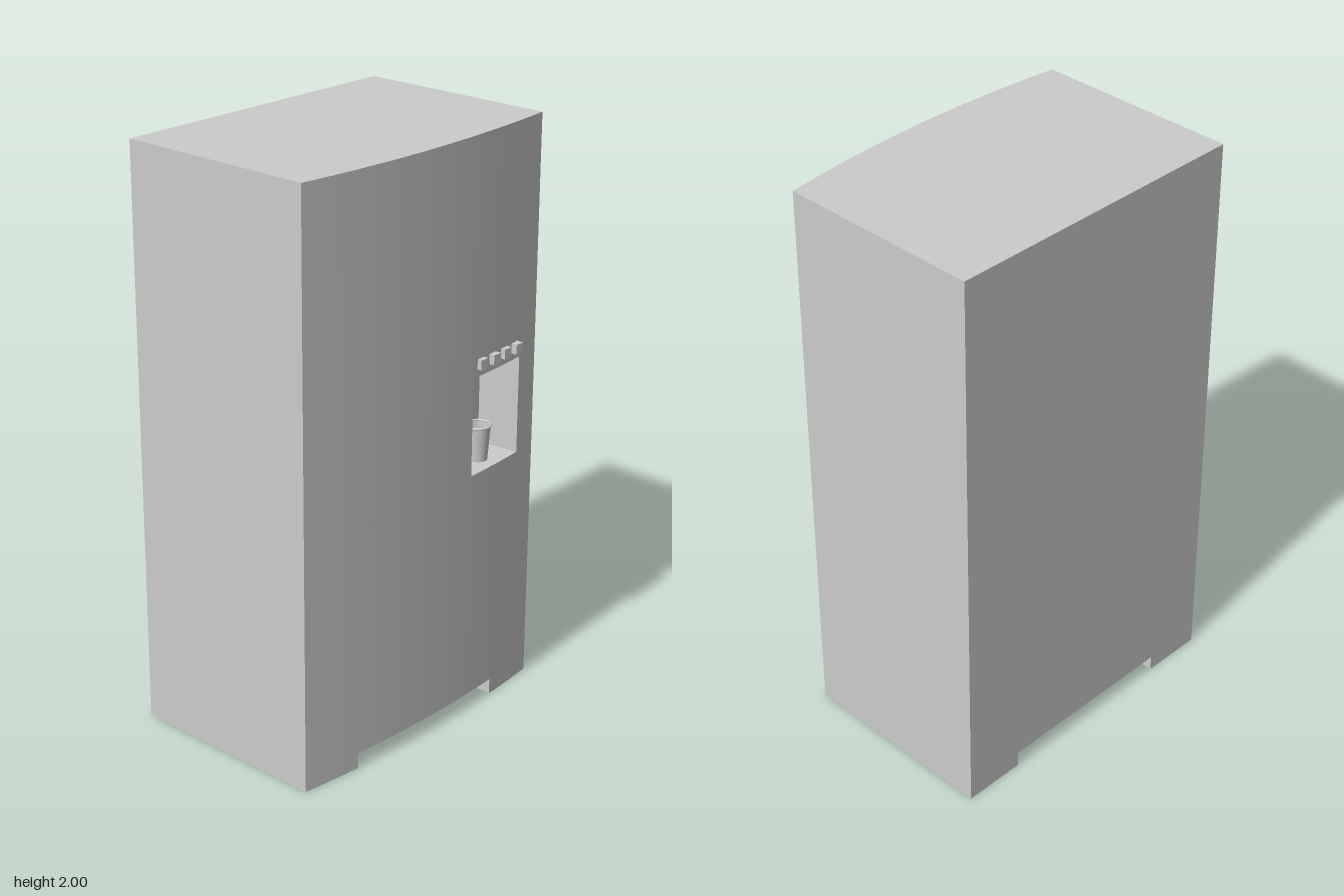
import * as THREE from 'three';
import { mergeGeometries } from 'three/addons/utils/BufferGeometryUtils.js';

const H = 2, BACK = -0.385, HALF = 0.555, FOOT_Z = 0.335, FOOT_H = 0.055;
const N = { z0: -0.46, z1: -0.2, y0: 0.86, y1: 1.2, depth: 0.155, shift: 0.012 };

// Bowed front face: x as a function of z (circular arc)
const R = 4.18;
const bow = (z) => 0.372 - R + Math.sqrt(R * R - z * z);

// Grid patch over two lists of parameters; its face points along dU x dV
function patch(us, vs, map, skip = () => false) {
  const pos = [], index = [], n = vs.length;
  for (const u of us) for (const v of vs) pos.push(...map(u, v));
  for (let i = 0; i < us.length - 1; i++) {
    for (let j = 0; j < n - 1; j++) {
      if (skip((us[i] + us[i + 1]) / 2, (vs[j] + vs[j + 1]) / 2)) continue;
      const a = i * n + j, b = a + n, c = b + 1, d = a + 1;
      index.push(a, b, c, a, c, d);
    }
  }
  const g = new THREE.BufferGeometry();
  g.setAttribute('position', new THREE.Float32BufferAttribute(pos, 3));
  g.setIndex(index);
  g.computeVertexNormals();
  return g;
}

export function createModel() {
  const model = new THREE.Group();
  const mat = new THREE.MeshStandardMaterial({ color: 0xcccccc });
  const add = (name, geo, parent = model) => {
    const m = new THREE.Mesh(geo, mat);
    m.name = name;
    parent.add(m);
    return m;
  };

  // Column and row breaks shared by all cabinet faces
  const zs = [N.z0, N.z1, -FOOT_Z, FOOT_Z];
  for (let i = 0; i <= 16; i++) zs.push(-HALF + (i * 2 * HALF) / 16);
  zs.sort((a, b) => a - b);
  const ys = [0, FOOT_H, N.y0, N.y1, H], ts = [0, 1];
  const inFootGap = (y, z) => y < FOOT_H && Math.abs(z) < FOOT_Z;
  const inNiche = (y, z) => y > N.y0 && y < N.y1 && z > N.z0 && z < N.z1;
  const depthX = (t, z) => BACK + t * (bow(z) - BACK);
  const under = (z) => (Math.abs(z) < FOOT_Z ? FOOT_H : 0);

  // Cabinet shell
  const parts = [
    patch(ys, zs, (y, z) => [bow(z), y, z], (y, z) => inFootGap(y, z) || inNiche(y, z)),
    patch(zs, ys, (z, y) => [BACK, y, z], (z, y) => inFootGap(y, z)),
    patch(zs, ts, (z, t) => [depthX(t, z), H, z]),
    patch(ts, [0, H], (t, y) => [depthX(t, HALF), y, HALF]),
    patch([0, H], ts, (y, t) => [depthX(t, HALF), y, -HALF]),
  ];
  // Undersides of the two feet and of the gap between them
  for (const [a, b] of [[-HALF, -FOOT_Z], [-FOOT_Z, FOOT_Z], [FOOT_Z, HALF]]) {
    const y = under((a + b) / 2);
    parts.push(patch(ts, zs.filter((z) => z >= a && z <= b), (t, z) => [depthX(t, z), y, z]));
  }
  // Inner walls of the feet
  parts.push(
    patch([0, FOOT_H], ts, (y, t) => [depthX(t, FOOT_Z), y, FOOT_Z]),
    patch(ts, [0, FOOT_H], (t, y) => [depthX(t, FOOT_Z), y, -FOOT_Z]),
  );
  add('cabinet', mergeGeometries(parts));

  // Dispenser niche, set square to the bowed front
  const nz = zs.filter((z) => z >= N.z0 && z <= N.z1), ny = [N.y0, N.y1];
  const backX = (z) =>
    THREE.MathUtils.mapLinear(z, N.z0, N.z1, bow(N.z0), bow(N.z1)) - N.depth;
  const inside = (t, y, z) => [
    THREE.MathUtils.lerp(backX(z), bow(z), t), y, z + (1 - t) * N.shift,
  ];
  add('dispenserNiche', mergeGeometries([
    patch(ny, nz, (y, z) => inside(0, y, z)),
    patch(nz, ts, (z, t) => inside(t, N.y0, z)),
    patch(ts, nz, (t, z) => inside(t, N.y1, z)),
    patch(ny, ts, (y, t) => inside(t, y, N.z1)),
    patch(ts, ny, (t, y) => inside(t, y, N.z0)),
  ]));

  // Tapered hollow cup with a rolled rim
  const cup = new THREE.Group();
  cup.name = 'cup';
  cup.position.set(0.288, N.y0, -0.327);
  model.add(cup);
  const profile = [[0, 0.001], [0.033, 0.001], [0.042, 0.122], [0.039, 0.122], [0.03, 0.005], [0, 0.005]];
  for (let i = 0; i < profile.length - 1; i++) {
    const seg = [profile[i], profile[i + 1]].map(([x, y]) => new THREE.Vector2(x, y));
    add('cupWall', new THREE.LatheGeometry(seg, 32), cup);
  }
  const rim = add('cupRim', new THREE.TorusGeometry(0.042, 0.004, 8, 32), cup);
  rim.rotation.x = Math.PI / 2;
  rim.position.y = 0.122;

  // Row of selection buttons above the niche
  for (const [z, x] of [[-0.238, 0.365], [-0.302, 0.365], [-0.367, 0.357], [-0.427, 0.357]]) {
    add('button', new THREE.BoxGeometry(0.034, 0.034, 0.034), model).position.set(x, 1.243, z);
  }
  return model;
}
